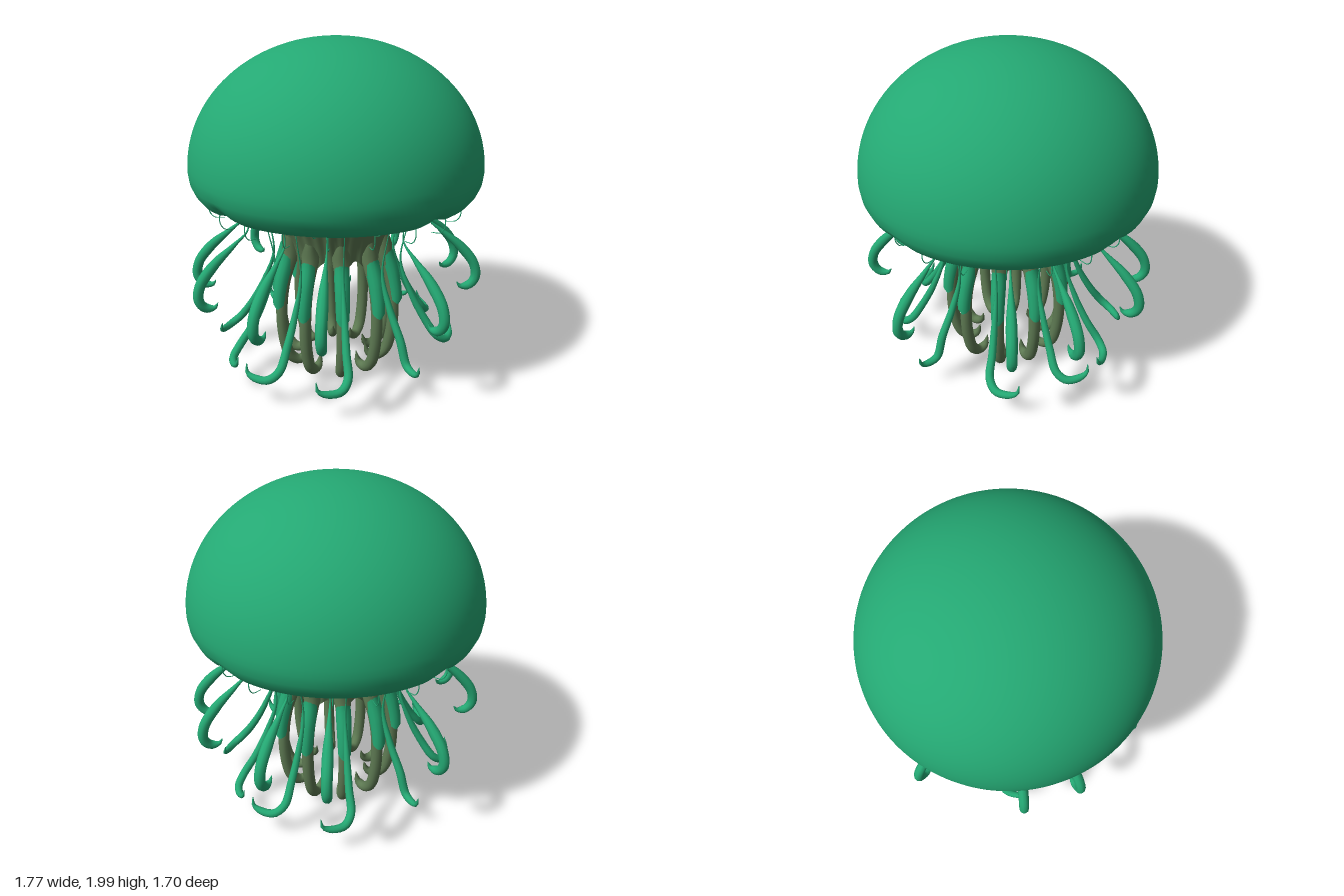
import * as THREE from 'three';
import { toCreasedNormals } from 'three/addons/utils/BufferGeometryUtils.js';

const green = new THREE.MeshStandardMaterial({ name: 'jelly green', color: 0x24a873, side: THREE.DoubleSide });
const olive = new THREE.MeshStandardMaterial({ name: 'olive', color: 0x5d7952, side: THREE.DoubleSide });

// Piecewise linear lookup over evenly spaced values
function sample(values, t) {
  const f = t * (values.length - 1);
  const i = Math.min(Math.floor(f), values.length - 2);
  return THREE.MathUtils.lerp(values[i], values[i + 1], f - i);
}

// Tapered tube; points are [radius, height, sideways], radii are spread along its length
function strand(points, radii, segments = 40, sides = 10) {
  const curve = new THREE.CatmullRomCurve3(points.map(([r, y, s = 0]) => new THREE.Vector3(r, y, s)));
  const geo = new THREE.TubeGeometry(curve, segments, 1, sides);
  const pos = geo.attributes.position;
  const v = new THREE.Vector3();
  for (let i = 0; i < pos.count; i++) {
    const t = Math.floor(i / (sides + 1)) / segments;
    const centre = curve.getPointAt(t);
    v.fromBufferAttribute(pos, i).sub(centre).multiplyScalar(sample(radii, t)).add(centre);
    pos.setXYZ(i, v.x, v.y, v.z);
  }
  return geo;
}

// Places copies of a strand at the given angles, mirrored between neighbouring quarters
function ring(name, geo, material, degrees) {
  const group = new THREE.Group();
  group.name = name + 's';
  degrees.forEach((d) => {
    const a = THREE.MathUtils.degToRad(d);
    const mesh = new THREE.Mesh(geo, material);
    mesh.name = name;
    mesh.rotation.y = -a;
    mesh.scale.z = Math.sin(2 * a) < -0.001 ? -1 : 1;
    group.add(mesh);
  });
  return group;
}

// Lathe whose vertices are moved by a rule(vertex, angle, radius)
function shapedLathe(profile, segments, rule) {
  const geo = new THREE.LatheGeometry(profile.map(([x, y]) => new THREE.Vector2(x, y)), segments);
  const pos = geo.attributes.position;
  const v = new THREE.Vector3();
  for (let i = 0; i < pos.count; i++) {
    v.fromBufferAttribute(pos, i);
    rule(v, Math.atan2(v.z, v.x), Math.hypot(v.x, v.z));
    pos.setXYZ(i, v.x, v.y, v.z);
  }
  return toCreasedNormals(geo, Math.PI);
}

export function createModel() {
  const model = new THREE.Group();
  model.name = 'jellyfish';
  const tenth = Array.from({ length: 10 }, (_, i) => i * 36);

  // Bell: hollow underside, rounded lip, elliptical dome
  const bellProfile = [[0, 1.32], [0.3, 1.31], [0.42, 1.27], [0.5, 1.2], [0.57, 1.13], [0.63, 1.095],
    [0.69, 1.08], [0.75, 1.095], [0.79, 1.122], [0.82, 1.16], [0.842, 1.21]];
  for (let i = 0; i <= 28; i++) {
    const a = (i / 28) * Math.PI / 2;
    bellProfile.push([0.85 * Math.cos(a), 1.27 + 0.73 * Math.sin(a)]);
  }
  const bell = new THREE.Mesh(shapedLathe(bellProfile, 144, (v, a, r) => {
    const lip = THREE.MathUtils.clamp((1.2 - v.y) / 0.1, 0, 1);
    v.y += 0.035 * lip * Math.pow(Math.abs(Math.cos(2 * a)), 70);
    if (v.y < 1.3 && r > 0.4 && r < 0.62) v.y += 0.012 * Math.cos(24 * a);
  }), green);
  bell.name = 'bell';
  model.add(bell);

  // Fluted stalk, open below, its edge arched between the arms
  const stalkProfile = [[0.27, 0.72], [0.283, 0.78], [0.303, 0.85], [0.335, 0.92], [0.365, 0.99],
    [0.39, 1.06], [0.41, 1.14], [0.42, 1.3]];
  const stalk = new THREE.Mesh(shapedLathe(stalkProfile, 180, (v, a) => {
    const low = THREE.MathUtils.clamp((0.86 - v.y) / 0.14, 0, 1);
    const flute = 1 + 0.014 * Math.cos(30 * a) + 0.01 * Math.sin(17 * a);
    v.x *= flute;
    v.z *= flute;
    v.y += low * (0.005 - 0.03 * Math.cos(10 * a));
  }), olive);
  stalk.name = 'stalk';
  model.add(stalk);

  // Thick arms curling inward at the bottom
  const arm = strand([[0.29, 0.88], [0.292, 0.76], [0.335, 0.6], [0.358, 0.4], [0.345, 0.2], [0.31, 0.085],
    [0.255, 0.04], [0.205, 0.055], [0.185, 0.115]],
  [0.025, 0.055, 0.043, 0.039, 0.036, 0.035, 0.035, 0.035, 0.035, 0.035, 0.034, 0.028, 0.002], 56, 12);
  model.add(ring('arm', arm, olive, tenth));

  // Green sheath lying over the outer side of each arm
  const sheath = strand([[0.305, 0.82], [0.312, 0.74], [0.35, 0.6], [0.37, 0.48], [0.371, 0.37]],
    [0.002, 0.042, 0.045, 0.043, 0.041, 0.039, 0.002], 30, 12);
  model.add(ring('armSheath', sheath, green, tenth));

  // Long tentacles on each side, hooked outward at the foot
  const longRadii = [0.003, 0.003, 0.003, 0.004, 0.006, 0.011, 0.017, 0.021, 0.023, 0.025, 0.025, 0.021, 0.002];
  const longTop = [[0.45, 1.12], [0.435, 0.95], [0.395, 0.7], [0.46, 0.5], [0.55, 0.33]];
  const side = strand([...longTop, [0.6, 0.2], [0.65, 0.18, 0.01], [0.7, 0.19, 0.02], [0.715, 0.245, 0.02]],
    longRadii, 56);
  model.add(ring('sideTentacle', side, green, [0, 180]));

  // Remaining long tentacles, their feet turned sideways toward front and back
  const turned = strand([...longTop, [0.63, 0.22], [0.68, 0.18, 0.04], [0.7, 0.178, 0.11], [0.7, 0.2, 0.17],
    [0.69, 0.25, 0.18]], longRadii, 56);
  model.add(ring('turnedTentacle', turned, green, tenth.filter((a) => a % 180 !== 0)));

  // Short tentacles bowed outward, curling back in
  const short = strand([[0.56, 1.14], [0.55, 1.03], [0.55, 0.94], [0.63, 0.865], [0.755, 0.76], [0.84, 0.65],
    [0.855, 0.56], [0.82, 0.507], [0.765, 0.498], [0.745, 0.525]],
  [0.003, 0.003, 0.003, 0.005, 0.01, 0.018, 0.026, 0.031, 0.031, 0.03, 0.029, 0.026, 0.002], 56);
  model.add(ring('shortTentacle', short, green, [0, 47, 72, 108, 133, 180, 227, 252, 288, 313]));

  // Hair-thin threads under the lip
  const thread = strand([[0.74, 1.12], [0.745, 1.05], [0.72, 1.01], [0.66, 1.0]], [0.003, 0.003, 0.002], 12, 5);
  model.add(ring('rimThread', thread, green, Array.from({ length: 20 }, (_, i) => i * 18 + 9)));
  const innerThread = strand([[0.58, 1.14], [0.6, 1.06], [0.57, 1.02], [0.52, 1.0]], [0.003, 0.003, 0.002], 12, 5);
  model.add(ring('innerThread', innerThread, green, tenth.map((a) => a + 18)));

  return model;
}
